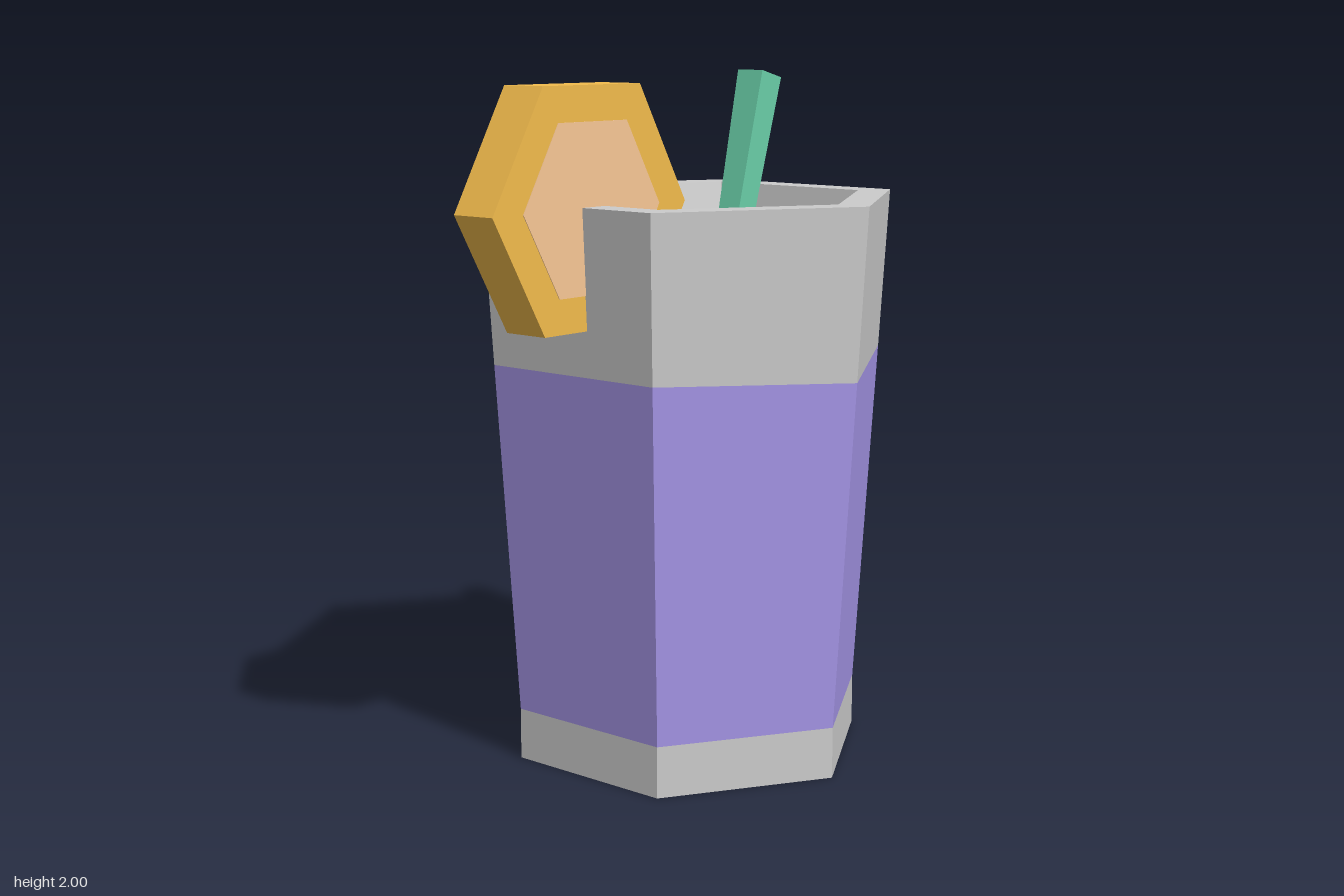
import * as THREE from 'three';

const material = (color) => new THREE.MeshStandardMaterial({ color, flatShading: true });
const grey = material(0xcccccc);
const purple = material(0xa696e8);
const orange = material(0xf2bb4c);
const flesh = material(0xf8c795);
const green = material(0x6acfa9);

function addMesh(parent, name, geometry, mat) {
  const mesh = new THREE.Mesh(geometry, mat);
  mesh.name = name;
  parent.add(mesh);
  return mesh;
}

// Six-sided turned shape with corners on the x axis; profile is [radius, y] pairs
function hexLathe(profile) {
  const points = profile.map(([r, y]) => new THREE.Vector2(r, y));
  const geometry = new THREE.LatheGeometry(points, 6, Math.PI / 6);
  const pos = geometry.attributes.position;
  // the colour boundary dips slightly at the +x corner
  for (let i = 0; i < pos.count; i++) {
    if (pos.getX(i) > 0.59 && Math.abs(pos.getY(i) - 1.18) < 0.001) pos.setXY(i, 0.599, 1.16);
  }
  return geometry;
}

export function createModel() {
  const model = new THREE.Group();
  model.name = 'drink';

  // Tumbler: base, coloured body, rim with inner wall, drink surface
  const cup = new THREE.Group();
  cup.name = 'cup';
  cup.position.z = -0.17;
  model.add(cup);
  addMesh(cup, 'cupBase', hexLathe([[0, 0], [0.533, 0], [0.533, 0.15]]), grey);
  addMesh(cup, 'cupBody', hexLathe([[0.533, 0.15], [0.6, 1.18]]), purple);
  addMesh(cup, 'cupRim', hexLathe([[0.6, 1.18], [0.63, 1.65], [0.525, 1.65], [0.47, 1.35]]), grey);
  addMesh(cup, 'drinkSurface', hexLathe([[0.47, 1.35], [0, 1.35]]), purple);

  // Fruit slice wedged on the front rim
  const slice = new THREE.Group();
  slice.name = 'fruitSlice';
  slice.position.set(-0.0025, 1.645, 0.33);
  model.add(slice);
  const disc = (r, width) => new THREE.CylinderGeometry(r, r, width, 6).rotateZ(Math.PI / 2);
  addMesh(slice, 'sliceRind', disc(0.385, 0.143), orange);
  addMesh(slice, 'sliceFlesh', disc(0.272, 0.147), flesh);

  // Square straw, tapering downwards and leaning to the back
  const strawGeometry = new THREE.CylinderGeometry(0.0475 * Math.SQRT2, 0.035 * Math.SQRT2, 0.658, 4);
  strawGeometry.rotateY(Math.PI / 4);
  const straw = addMesh(model, 'straw', strawGeometry, green);
  straw.position.set(-0.119, 1.669, -0.5475);
  straw.rotation.x = -0.253;

  return model;
}
